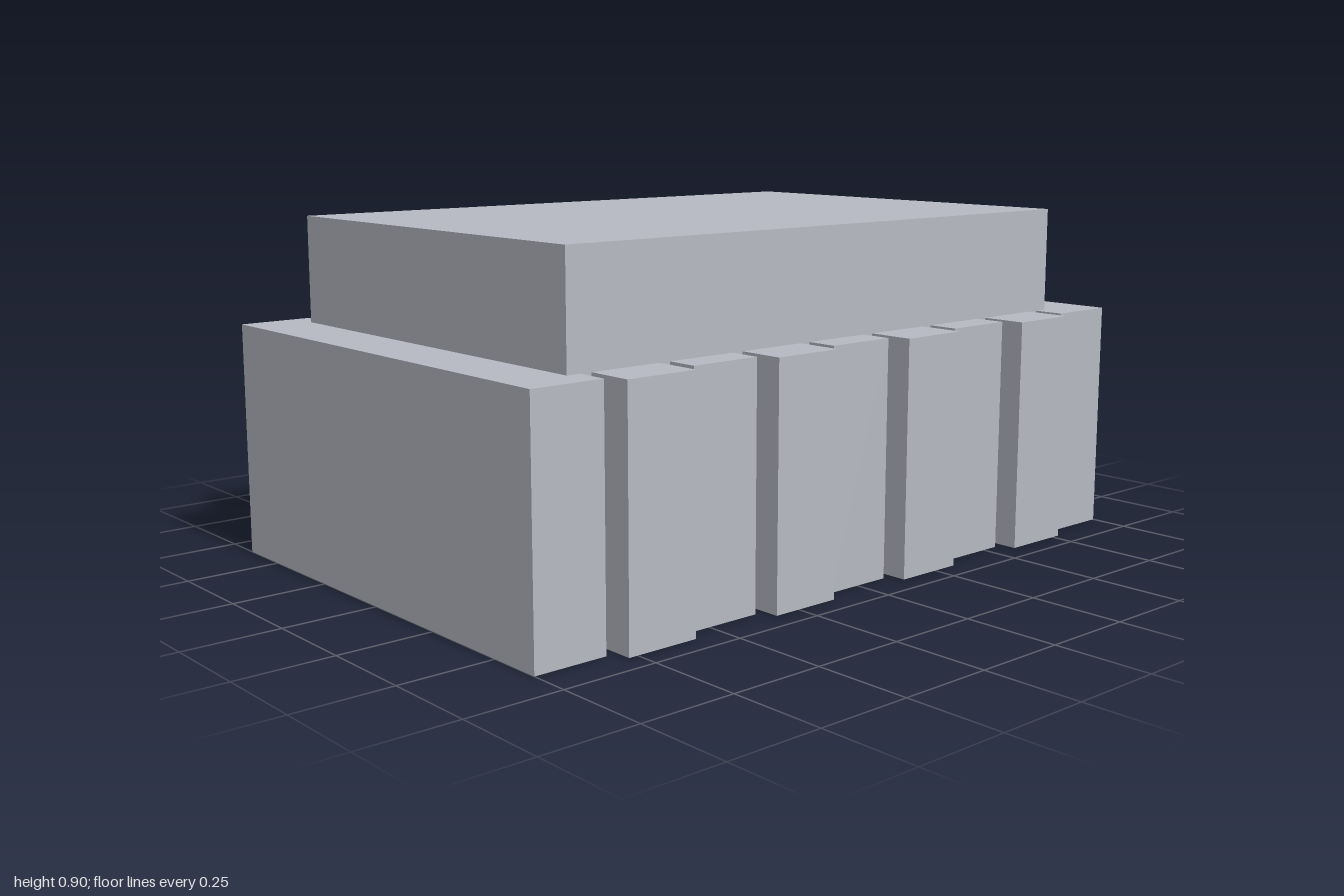
import * as THREE from 'three';

export function createModel() {
  const model = new THREE.Group();
  const grey = new THREE.MeshStandardMaterial({ color: 0xb6b9c1 });
  grey.name = 'cool grey';

  const addBox = (name, width, height, depth, x, bottom) => {
    const mesh = new THREE.Mesh(new THREE.BoxGeometry(width, height, depth), grey);
    mesh.name = name;
    mesh.position.set(x, bottom + height / 2, 0);
    model.add(mesh);
  };

  // Row of upright slabs with narrow gaps; every second one is deeper
  const count = 9, slabWidth = 0.195;
  const pitch = (2 - slabWidth) / (count - 1);
  for (let i = 0; i < count; i++) {
    const depth = i % 2 ? 1.376 : 1.292;
    addBox(`slab${i + 1}`, slabWidth, 0.62, depth, (i - (count - 1) / 2) * pitch, 0);
  }

  // Top block, sunk slightly into the slabs
  addBox('topBlock', 1.684, 0.335, 1.126, 0, 0.568);

  return model;
}
